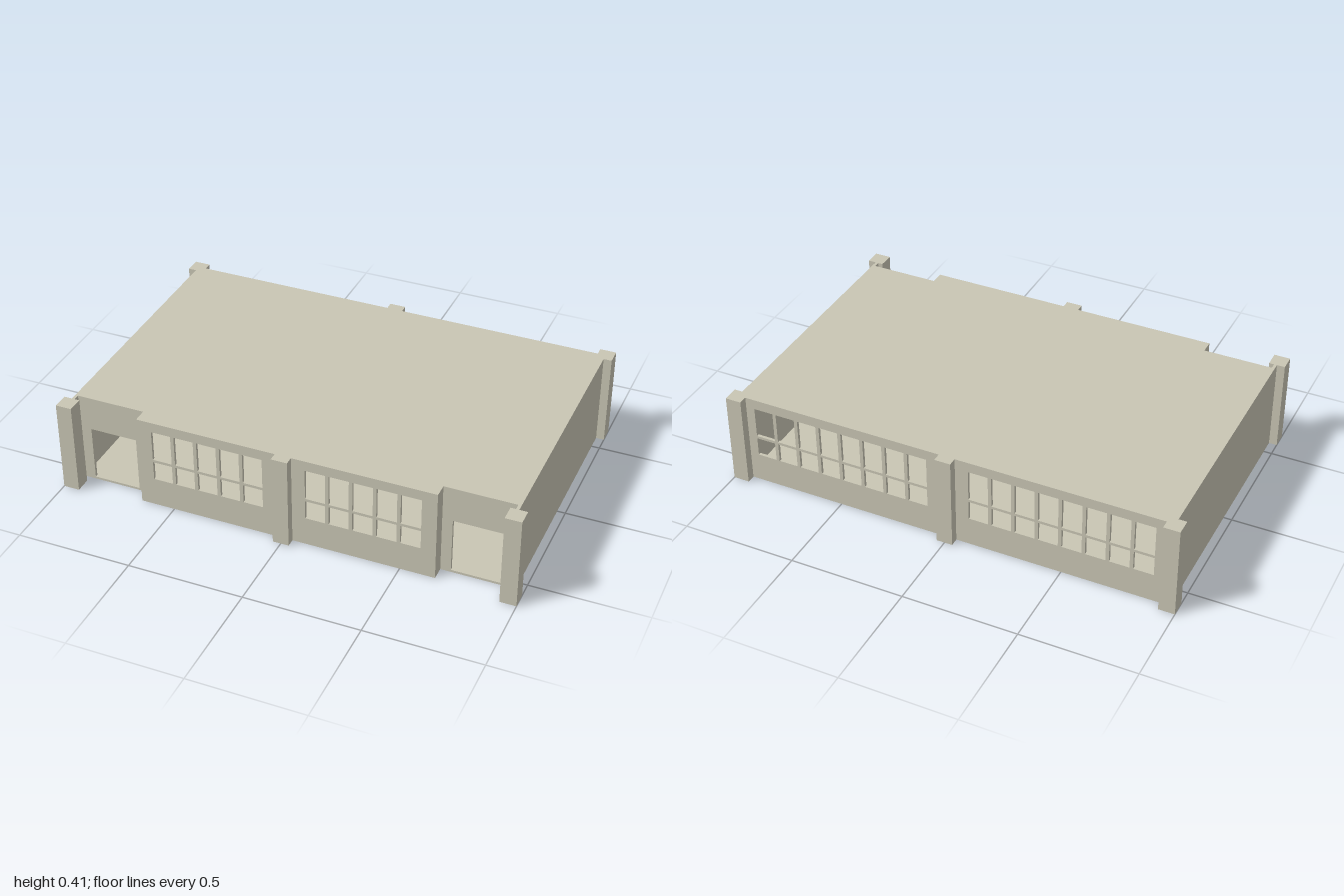
import * as THREE from 'three';

const H = 0.41, SLAB = 0.007, T = 0.013; // overall height, slab and wall thickness
const wallTop = H - SLAB;

const stone = new THREE.MeshStandardMaterial({ color: 0xc9c6b4 });
stone.name = 'warm grey stone';

function rectPath(path, x0, y0, x1, y1) {
  path.moveTo(x0, y0);
  path.lineTo(x1, y0);
  path.lineTo(x1, y1);
  path.lineTo(x0, y1);
  path.closePath();
  return path;
}

// Wall parallel to x with rectangular openings; z is its rear face
function pierced(name, x0, x1, z, openings) {
  const shape = rectPath(new THREE.Shape(), x0, SLAB, x1, wallTop);
  for (const o of openings) shape.holes.push(rectPath(new THREE.Path(), ...o));
  const geo = new THREE.ExtrudeGeometry(shape, { depth: T, bevelEnabled: false });
  geo.translate(0, 0, z);
  const mesh = new THREE.Mesh(geo, stone);
  mesh.name = name;
  return mesh;
}

// Two rows of panes, counted outwards from the middle pillar on both sides
function panes(columns) {
  const list = [];
  for (const s of [-1, 1]) {
    for (let i = 0; i < columns; i++) {
      const a = s * (0.093 + i * 0.1016), b = a + s * 0.0865;
      const x0 = Math.min(a, b), x1 = Math.max(a, b);
      list.push([x0, 0.13, x1, 0.215], [x0, 0.227, x1, 0.365]);
    }
  }
  return list;
}

function box(name, w, h, d, x, y, z) {
  const mesh = new THREE.Mesh(new THREE.BoxGeometry(w, h, d), stone);
  mesh.position.set(x, y, z);
  mesh.name = name;
  return mesh;
}

// Horizontal slab following the plan, notched at the two entrances
function slab(name, top) {
  const half = [[0.965, -0.6], [0.965, 0.57], [0.965 - T, 0.57], [0.965 - T, 0.54], [0.65, 0.54], [0.65, 0.6]];
  const mirrored = half.map(([x, z]) => [-x, z]).reverse();
  const shape = new THREE.Shape([...half, ...mirrored].map(([x, z]) => new THREE.Vector2(x, z)));
  const geo = new THREE.ExtrudeGeometry(shape, { depth: SLAB, bevelEnabled: false });
  geo.rotateX(Math.PI / 2);
  geo.translate(0, top, 0);
  const mesh = new THREE.Mesh(geo, stone);
  mesh.name = name;
  return mesh;
}

export function createModel() {
  const building = new THREE.Group();
  building.name = 'building';

  building.add(slab('floor', SLAB), slab('roof', H));

  // Window walls
  building.add(pierced('frontWall', -0.65, 0.65, 0.6 - T, panes(5)));
  building.add(pierced('backWall', -0.965, 0.965, -0.6, panes(8)));

  const wallH = wallTop - SLAB, midY = H / 2;
  for (const s of [-1, 1]) {
    const side = s > 0 ? 'left' : 'right';

    // Recessed entrance with an open doorway
    const inner = s * (0.65 - T), outer = s * (0.965 - T);
    const d0 = s * 0.694, d1 = s * 0.903;
    building.add(pierced(side + 'EntranceWall', Math.min(inner, outer), Math.max(inner, outer), 0.54 - T,
      [[Math.min(d0, d1), SLAB + 0.003, Math.max(d0, d1), 0.255]]));
    building.add(box(side + 'EntranceReturn', T, wallH, 0.06 - T, s * (0.65 - T / 2), midY, 0.57 - T / 2));

    // Blank side wall
    building.add(box(side + 'SideWall', T, wallH, 1.17 - T, s * (0.965 - T / 2), midY, -0.015 + T / 2));
  }

  // Pillars at the corners and the middle of front and back
  for (const x of [-0.965, 0, 0.965]) {
    for (const z of [-0.603, 0.603]) {
      building.add(box('pillar', 0.07, H, 0.07, x, midY, z));
    }
  }
  return building;
}
